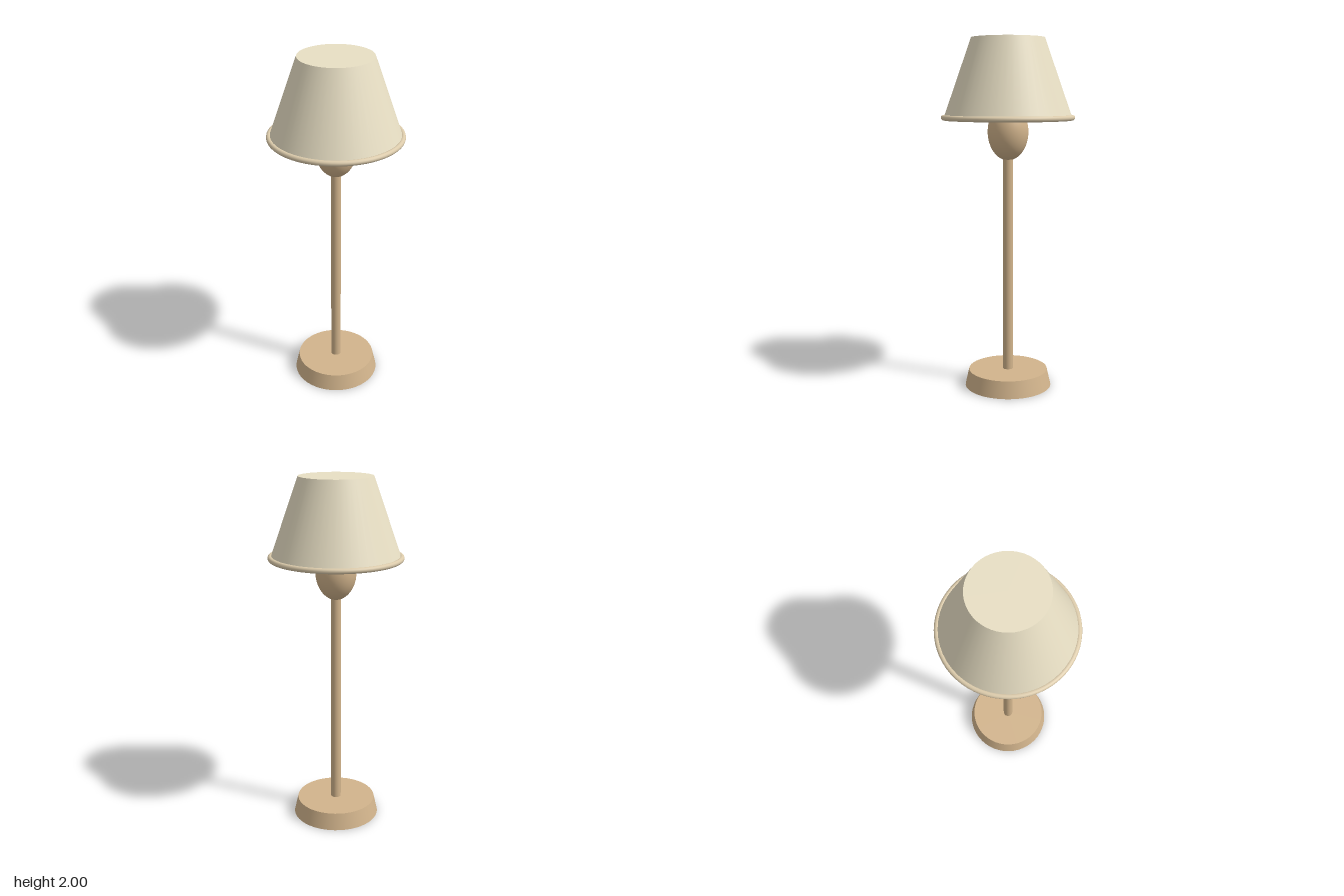
import * as THREE from 'three';

export function createModel() {
  const lamp = new THREE.Group();
  lamp.name = 'tableLamp';

  const wood = new THREE.MeshStandardMaterial({ color: 0xd2b48c });
  const fabric = new THREE.MeshStandardMaterial({ color: 0xe8dfc4 });
  const trim = new THREE.MeshStandardMaterial({ color: 0xdccbab });

  function add(name, geometry, material, y) {
    const mesh = new THREE.Mesh(geometry, material);
    mesh.name = name;
    mesh.position.y = y;
    lamp.add(mesh);
    return mesh;
  }

  // Closed tapered cylinder standing between two heights
  function taper(name, topRadius, bottomRadius, y0, y1, material) {
    const geometry = new THREE.CylinderGeometry(topRadius, bottomRadius, y1 - y0, 48);
    return add(name, geometry, material, (y0 + y1) / 2);
  }

  // Foot and stem
  taper('base', 0.228, 0.25, 0, 0.096, wood);
  taper('stem', 0.028, 0.029, 0.09, 1.36, wood);

  // Egg-shaped holder, its upper part inside the shade
  add('bulbHolder', new THREE.SphereGeometry(0.115, 32, 24), wood, 1.48).scale.y = 0.16 / 0.115;

  // Closed shade with a rolled rim round its lower edge
  taper('shade', 0.205, 0.36, 1.56, 2, fabric);
  add('shadeRim', new THREE.TorusGeometry(0.361, 0.015, 12, 64).rotateX(Math.PI / 2), trim, 1.56);

  return lamp;
}
